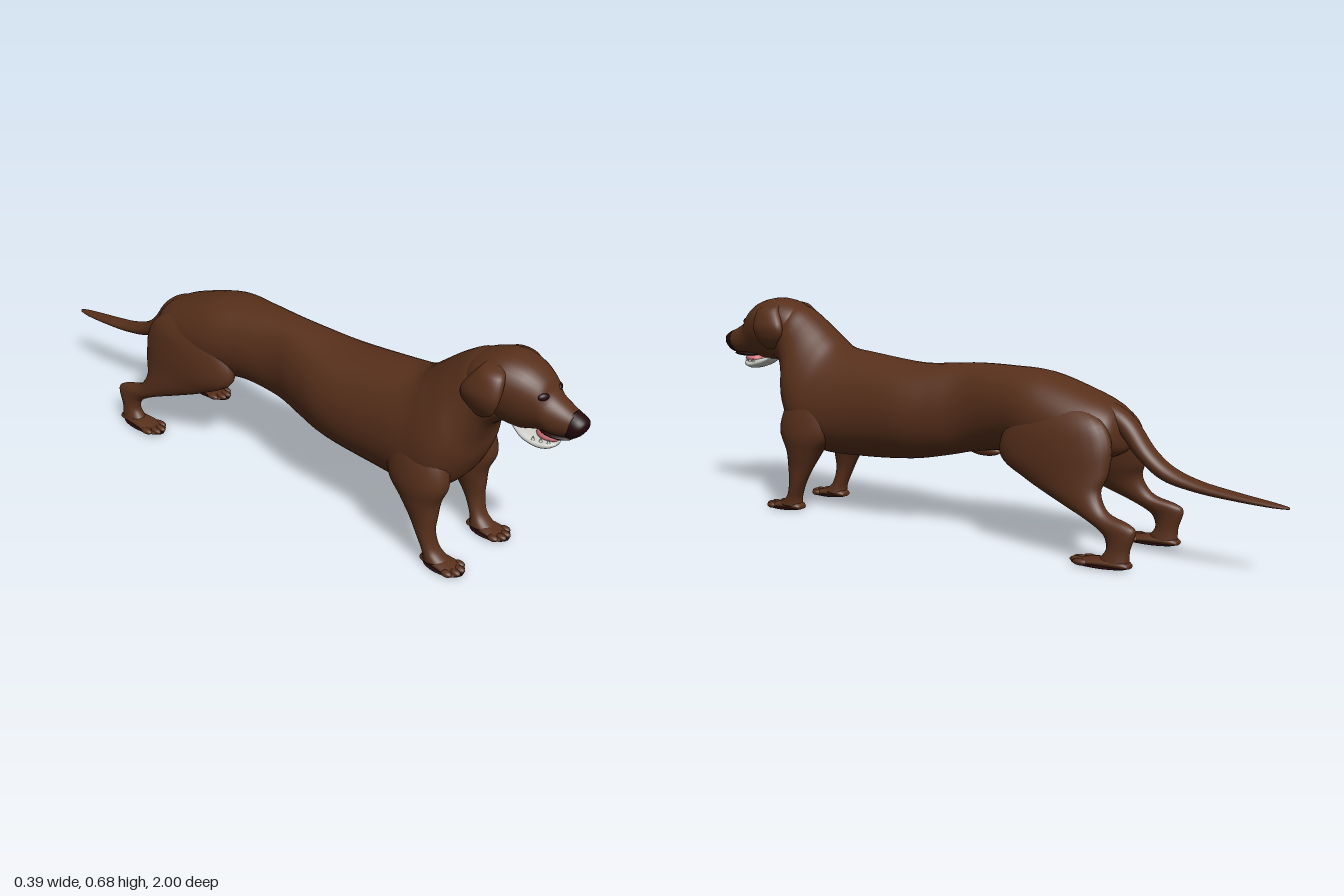
import * as THREE from 'three';

const mat = (name, color) => {
  const m = new THREE.MeshStandardMaterial({ color });
  m.name = name;
  return m;
};

// Smooth interpolation through a list of stations (Catmull-Rom, per column)
function sample(st, t) {
  const n = st.length - 1, i = Math.min(Math.floor(t), n - 1), f = t - i;
  const at = k => st[Math.max(0, Math.min(n, k))];
  const [a, b, c, d] = [at(i - 1), at(i), at(i + 1), at(i + 2)];
  return b.map((_, k) => 0.5 * (2 * b[k] + (c[k] - a[k]) * f
    + (2 * a[k] - 5 * b[k] + 4 * c[k] - d[k]) * f * f
    + (3 * b[k] - a[k] - 3 * c[k] + d[k]) * f * f * f));
}

// Loft of rounded rings; station = [z1, y1, z2, y2, halfWidth, centreX, egg].
// The two points are opposite edges of the ring in profile; egg widens the second.
function loft(stations, side = 1, seg = 28, sub = 5) {
  const st = stations.map(s => [s[0], s[1], s[2], s[3], s[4], s[5] ?? 0, s[6] ?? 0]);
  const rows = (st.length - 1) * sub, pos = [], idx = [];
  for (let r = 0; r <= rows; r++) {
    const [z1, y1, z2, y2, w, cx, egg] = sample(st, r / sub);
    for (let j = 0; j < seg; j++) {
      const a = j / seg * Math.PI * 2, c = Math.cos(a), s = Math.sin(a);
      const sx = Math.sign(s) * Math.abs(s) ** 0.88;
      pos.push(side * (cx + w * sx * (1 - egg * c)),
        (y1 + y2) / 2 + (y1 - y2) / 2 * c, (z1 + z2) / 2 + (z1 - z2) / 2 * c);
    }
  }
  const quad = (a, b, c, d) => idx.push(a, b, c, b, d, c);
  for (let r = 0; r < rows; r++) for (let j = 0; j < seg; j++) {
    const k = (j + 1) % seg;
    quad(r * seg + j, r * seg + k, (r + 1) * seg + j, (r + 1) * seg + k);
  }
  // End caps
  for (const [r, flip] of [[0, false], [rows, true]]) {
    const s = st[r ? st.length - 1 : 0], c = pos.length / 3;
    pos.push(side * s[5], (s[1] + s[3]) / 2, (s[0] + s[2]) / 2);
    for (let j = 0; j < seg; j++) {
      const a = r * seg + j, b = r * seg + (j + 1) % seg;
      flip ? idx.push(c, a, b) : idx.push(c, b, a);
    }
  }
  // Turn faces outward by the sign of the enclosed volume
  const v = i => new THREE.Vector3().fromArray(pos, i * 3);
  let vol = 0;
  for (let i = 0; i < idx.length; i += 3) vol += v(idx[i]).dot(v(idx[i + 1]).cross(v(idx[i + 2])));
  if (vol < 0) idx.reverse();
  const g = new THREE.BufferGeometry();
  g.setAttribute('position', new THREE.Float32BufferAttribute(pos, 3));
  g.setIndex(idx);
  g.computeVertexNormals();
  return g;
}

export function createModel() {
  const dog = new THREE.Group();
  dog.name = 'dog';
  const coat = mat('brown coat', 0x58301b), dark = mat('dark maroon', 0x22080a);
  const white = mat('pale jaw', 0xc9c9c4), pink = mat('pink tongue', 0xcf727a);
  const add = (name, geo, m = coat) => {
    const mesh = new THREE.Mesh(geo, m);
    mesh.name = name;
    dog.add(mesh);
    return mesh;
  };
  const blob = (name, p, r, m) => {
    const mesh = add(name, new THREE.SphereGeometry(1, 20, 14), m);
    mesh.position.set(...p);
    mesh.scale.set(...r);
    return mesh;
  };

  // Torso and neck
  add('torso', loft([
    [-0.505, 0.39, -0.512, 0.33, 0.05], [-0.48, 0.425, -0.495, 0.29, 0.095],
    [-0.40, 0.462, -0.40, 0.26, 0.13, 0, 0.05], [-0.25, 0.507, -0.25, 0.25, 0.135],
    [-0.12, 0.515, -0.13, 0.262, 0.11], [0, 0.515, 0, 0.245, 0.094],
    [0.10, 0.507, 0.10, 0.222, 0.114], [0.22, 0.50, 0.22, 0.20, 0.14],
    [0.40, 0.518, 0.40, 0.187, 0.143, 0, 0.08], [0.50, 0.532, 0.56, 0.19, 0.154, 0, 0.15],
    [0.55, 0.565, 0.645, 0.235, 0.154, 0, 0.22], [0.59, 0.597, 0.692, 0.315, 0.138, 0, 0.22],
    [0.63, 0.625, 0.71, 0.39, 0.115, 0, 0.14], [0.67, 0.648, 0.74, 0.45, 0.096],
    [0.72, 0.662, 0.79, 0.485, 0.08],
  ], 1, 40));

  // Head with muzzle, dark nose tip, lower jaw and tongue
  add('head', loft([
    [0.64, 0.60, 0.66, 0.52, 0.05], [0.68, 0.648, 0.70, 0.49, 0.084, 0, -0.1],
    [0.76, 0.675, 0.77, 0.478, 0.093, 0.002, -0.18], [0.83, 0.664, 0.82, 0.47, 0.081, 0.006, -0.2],
    [0.88, 0.632, 0.87, 0.482, 0.062, 0.01, -0.12], [0.902, 0.598, 0.91, 0.484, 0.051, 0.012],
    [0.94, 0.573, 0.935, 0.484, 0.043, 0.015], [0.968, 0.560, 0.958, 0.491, 0.036, 0.016],
  ], 1, 36));
  add('nose', loft([
    [0.962, 0.563, 0.953, 0.485, 0.036, 0.016], [0.982, 0.555, 0.968, 0.488, 0.034, 0.016],
    [0.995, 0.546, 0.984, 0.500, 0.027, 0.017], [1.0, 0.538, 0.994, 0.513, 0.015, 0.017],
  ]), dark);
  blob('mouthRoof', [0.014, 0.485, 0.915], [0.036, 0.009, 0.05], dark);
  add('lowerJaw', loft([
    [0.80, 0.485, 0.81, 0.465, 0.03, 0.005], [0.84, 0.475, 0.84, 0.447, 0.041, 0.005],
    [0.88, 0.465, 0.88, 0.436, 0.038, 0.006], [0.91, 0.463, 0.907, 0.439, 0.03, 0.008],
    [0.926, 0.459, 0.923, 0.448, 0.012, 0.009],
  ]), white);
  blob('tongue', [0.011, 0.468, 0.892], [0.023, 0.015, 0.034], pink);
  for (const s of [-1, 1]) for (let i = 0; i < 3; i++) {
    const tooth = add('tooth', new THREE.ConeGeometry(0.005, 0.012, 8), white);
    tooth.position.set(0.008 + s * (0.022 + i * 0.006), 0.466, 0.91 - i * 0.02);
  }

  // Tail
  add('tail', loft([
    [-0.40, 0.445, -0.43, 0.39, 0.02, 0.004], [-0.475, 0.432, -0.465, 0.38, 0.036, 0.008],
    [-0.54, 0.39, -0.50, 0.35, 0.037, 0.01], [-0.60, 0.315, -0.555, 0.29, 0.036, 0.012],
    [-0.66, 0.27, -0.63, 0.235, 0.034, 0.012], [-0.74, 0.242, -0.73, 0.212, 0.030, 0.012],
    [-0.84, 0.225, -0.84, 0.202, 0.026, 0.013], [-0.94, 0.212, -0.94, 0.197, 0.019, 0.014],
    [-0.985, 0.206, -0.985, 0.197, 0.011, 0.015], [-1, 0.203, -1, 0.198, 0.004, 0.015],
  ]));
  blob('bellySheath', [0, 0.25, -0.03], [0.018, 0.016, 0.055], coat);

  // Flat paw with toes and a dark sole
  const paw = (name, s, cx, back, front, w) => {
    const L = front - back, z = f => back + L * f;
    add(name, loft([
      [z(0), 0.018, z(0), 0.006, w * 0.4, cx], [z(0.12), 0.028, z(0.1), 0.004, w * 0.65, cx],
      [z(0.45), 0.029, z(0.45), 0.004, w * 0.82, cx], [z(0.75), 0.02, z(0.75), 0.004, w * 0.9, cx],
      [z(0.92), 0.013, z(0.92), 0.005, w * 0.7, cx],
    ], s));
    for (let i = 0; i < 4; i++) {
      const k = i - 1.5, reach = Math.abs(k) > 1 ? 0.76 : 0.87;
      blob(name + 'Toe', [s * (cx + k * w * 0.5), 0.012, z(reach)],
        [w * 0.28, 0.0095, L * 0.13], coat);
    }
    blob(name + 'Sole', [s * cx, 0.0045, z(0.52)], [w * 0.95, 0.0045, L * 0.48], dark);
  };

  for (const s of [-1, 1]) {
    const side = s > 0 ? 'left' : 'right';
    // Shoulder and front leg
    add(side + 'FrontLeg', loft([
      [0.60, 0.43, 0.51, 0.43, 0.025, 0.08], [0.65, 0.36, 0.48, 0.36, 0.047, 0.105],
      [0.675, 0.27, 0.48, 0.265, 0.057, 0.115], [0.65, 0.20, 0.525, 0.20, 0.05, 0.114],
      [0.645, 0.15, 0.56, 0.145, 0.037, 0.117], [0.642, 0.10, 0.588, 0.095, 0.030, 0.119],
      [0.655, 0.05, 0.61, 0.045, 0.029, 0.115], [0.69, 0.022, 0.612, 0.012, 0.034, 0.112],
    ], s));
    paw(side + 'FrontPaw', s, 0.112, 0.605, 0.742, 0.041);
    // Thigh, hock and hind foot
    add(side + 'HindLeg', loft([
      [-0.24, 0.44, -0.38, 0.44, 0.03, 0.068], [-0.17, 0.36, -0.475, 0.395, 0.05, 0.09],
      [-0.155, 0.268, -0.512, 0.33, 0.056, 0.10], [-0.25, 0.21, -0.51, 0.25, 0.048, 0.112],
      [-0.37, 0.16, -0.495, 0.20, 0.037, 0.127], [-0.46, 0.125, -0.525, 0.15, 0.028, 0.139],
      [-0.515, 0.095, -0.595, 0.128, 0.024, 0.147], [-0.53, 0.07, -0.618, 0.108, 0.022, 0.15],
      [-0.53, 0.048, -0.602, 0.055, 0.023, 0.151], [-0.51, 0.022, -0.60, 0.012, 0.03, 0.152],
    ], s));
    paw(side + 'HindPaw', s, 0.152, -0.605, -0.422, 0.041);
    // Hanging ear and eye
    add(side + 'Ear', loft([
      [0.775, 0.658, 0.735, 0.658, 0.014, 0.055], [0.805, 0.64, 0.725, 0.645, 0.024, 0.079],
      [0.81, 0.59, 0.695, 0.60, 0.024, 0.1], [0.80, 0.555, 0.692, 0.565, 0.018, 0.102],
      [0.785, 0.53, 0.715, 0.535, 0.011, 0.096], [0.76, 0.515, 0.735, 0.516, 0.005, 0.091],
    ], s)).position.x = -0.005;
    blob(side + 'Eye', [0.01 + s * 0.038, 0.595, 0.889], [0.017, 0.011, 0.009], dark)
      .rotation.y = s * 0.5;
  }
  return dog;
}
